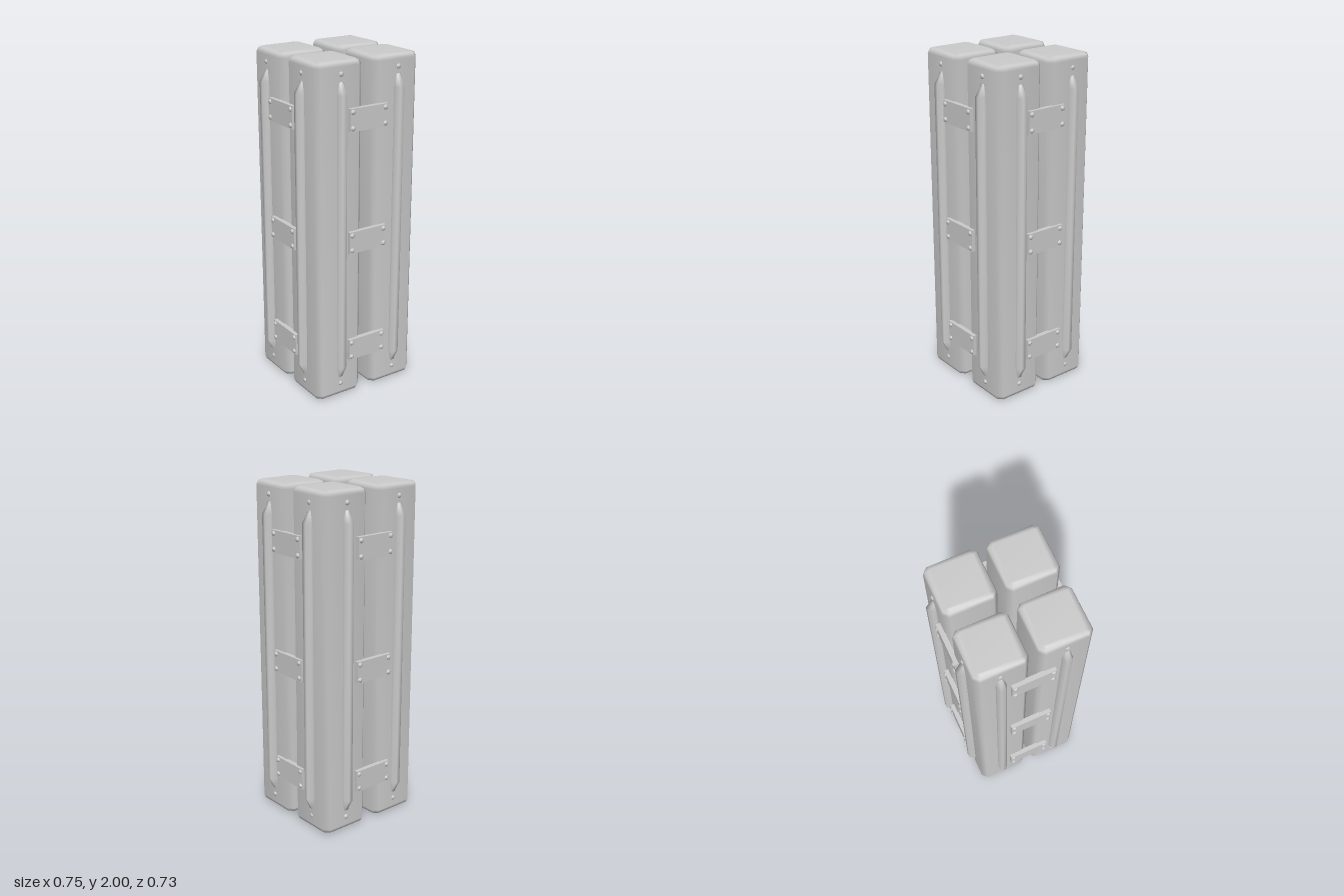
import * as THREE from 'three';
import { mergeVertices } from 'three/addons/utils/BufferGeometryUtils.js';

const grey = new THREE.MeshStandardMaterial({ color: 0xcccccc });

function add(parent, name, geometry, x, y, z) {
  const mesh = new THREE.Mesh(geometry, grey);
  mesh.name = name;
  mesh.position.set(x, y, z);
  parent.add(mesh);
  return mesh;
}

// Share vertices so that shading runs smoothly across the bevels
function smooth(geometry) {
  geometry.deleteAttribute('normal');
  geometry.deleteAttribute('uv');
  const merged = mergeVertices(geometry, 1e-4);
  merged.computeVertexNormals();
  return merged;
}

// Square post, 2 tall, with chamfered corners and rounded ends
function postGeometry() {
  const h = 0.151, c = 0.03, b = 0.03;
  const corners = [[h, h - c], [h - c, h], [c - h, h], [-h, h - c],
    [-h, c - h], [c - h, -h], [h - c, -h], [h, c - h]];
  const shape = new THREE.Shape(corners.map(([x, y]) => new THREE.Vector2(x, y)));
  const geometry = new THREE.ExtrudeGeometry(shape, {
    depth: 2 - 2 * b, bevelThickness: b, bevelSize: b, bevelOffset: -b, bevelSegments: 2,
  });
  geometry.translate(0, 0, b);
  geometry.rotateX(-Math.PI / 2);
  return smooth(geometry);
}

// Raised rib: a bevelled profile lofted along y, sinking into the post at both ends
function ribGeometry() {
  const profile = [[-0.028, -0.005], [-0.028, 0.014], [-0.013, 0.039],
    [0.013, 0.039], [0.028, 0.014], [0.028, -0.005]];
  const rows = [[1.89, 0.5, 0], [1.82, 1, 1], [0.195, 1, 1], [0.12, 0.5, 0]];
  const geometry = new THREE.PlaneGeometry(1, 1, profile.length - 1, rows.length - 1);
  const position = geometry.attributes.position;
  rows.forEach(([y, width, height], r) => profile.forEach(([x, z], i) => {
    position.setXYZ(r * profile.length + i, x * width, y, z * height);
  }));
  return smooth(geometry);
}

// Small domed screw head facing +z
function screwGeometry() {
  const points = [[0.015, -0.004], [0.015, 0.002], [0.008, 0.008], [0, 0.009]];
  const geometry = new THREE.LatheGeometry(points.map(([x, y]) => new THREE.Vector2(x, y)), 8);
  geometry.rotateX(Math.PI / 2);
  return geometry;
}

export function createModel() {
  const model = new THREE.Group();
  model.name = 'fourPostBundle';
  const post = postGeometry(), rib = ribGeometry(), screw = screwGeometry();
  const plate = new THREE.BoxGeometry(0.25, 0.13, 0.028);

  // Four posts, slightly uneven in their spacing
  const posts = { backRightPost: [-0.19, -0.181], backLeftPost: [0.187, -0.179],
    frontRightPost: [-0.19, 0.17], frontLeftPost: [0.184, 0.168] };
  for (const [name, [x, z]] of Object.entries(posts)) add(model, name, post, x, 0, z);

  // Each outer side: turn, face distance, rib positions, plate offset, plate distance
  const sides = [
    ['front', 0, 0.32, [-0.184, 0.195], -0.013, 0.328],
    ['left', Math.PI / 2, 0.336, [0.19, -0.172], 0, 0.34],
    ['back', Math.PI, 0.332, [0.188, -0.19], -0.002, 0.341],
    ['right', -Math.PI / 2, 0.34, [-0.194, 0.172], -0.013, 0.35],
  ];
  for (const [name, turn, face, ribs, plateX, plateZ] of sides) {
    const side = new THREE.Group();
    side.name = name + 'Side';
    side.rotation.y = turn;
    model.add(side);

    // Ribs with a screw above and below
    for (const x of ribs) {
      add(side, 'rib', rib, x, 0, face);
      for (const y of [0.08, 1.93]) add(side, 'postScrew', screw, x, y, face - 0.001);
    }

    // Joining plates with four screws each
    for (const y of [0.292, 0.966, 1.675]) {
      add(side, 'joiningPlate', plate, plateX, y, plateZ);
      for (const sx of [-1, 1]) for (const sy of [-1, 1]) {
        add(side, 'plateScrew', screw, plateX + sx * 0.108, y + sy * 0.045, plateZ + 0.014);
      }
    }
  }
  return model;
}
